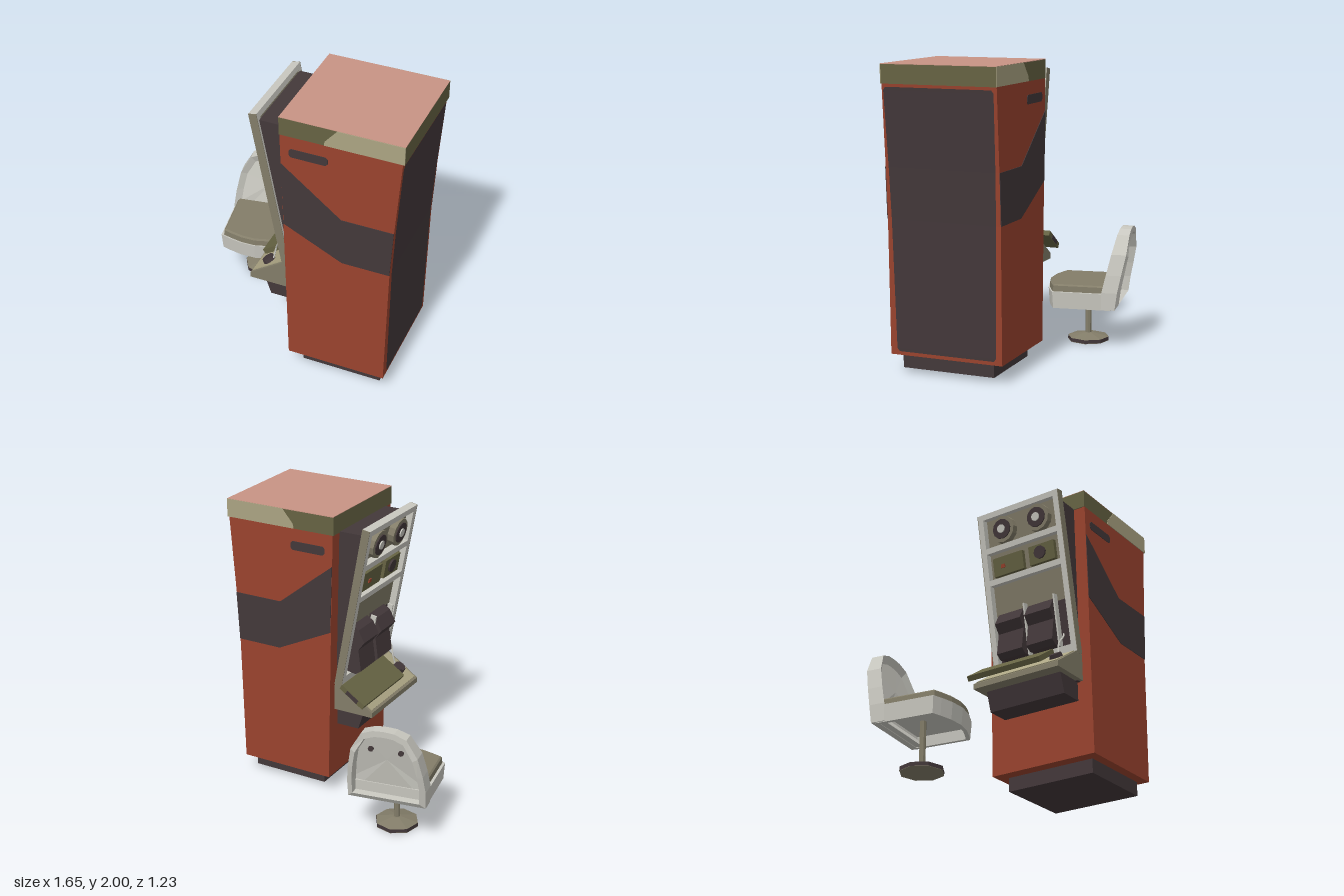
import * as THREE from 'three';

const mat = (name, color, extra = {}) => {
  const m = new THREE.MeshStandardMaterial({ color, flatShading: true, ...extra });
  m.name = name;
  return m;
};

export function createModel() {
  const red = mat('red', 0x9a432e);
  const pink = mat('pink', 0xc89484);
  const dark = mat('dark', 0x43383a);
  const olive = mat('olive', 0x666343);
  const sand = mat('sand', 0xaba483);
  const khaki = mat('khaki', 0x837d69);
  const gray = mat('gray', 0xc9c8c0, { side: THREE.DoubleSide });

  const root = new THREE.Group();
  const add = (parent, name, geo, material, x = 0, y = 0, z = 0) => {
    const m = new THREE.Mesh(geo, material);
    m.name = name;
    m.position.set(x, y, z);
    parent.add(m);
    return m;
  };
  const box = (parent, name, material, w, h, d, x, y, z) =>
    add(parent, name, new THREE.BoxGeometry(w, h, d), material, x, y, z);
  const polygon = (pts) => new THREE.Shape(pts.map(([x, y]) => new THREE.Vector2(x, y)));
  // Outline in x and y, extruded from z0 to z1
  const slab = (parent, name, material, pts, z0, z1) =>
    add(parent, name, new THREE.ExtrudeGeometry(polygon(pts), { depth: z1 - z0, bevelEnabled: false }), material, 0, 0, z0);
  // Joins closed loops of equal length and caps both ends
  const loft = (loops) => {
    const pos = [];
    const n = loops[0].length;
    const tri = (...p) => p.forEach((v) => pos.push(...v));
    const cap = (loop, flip) => {
      const c = [0, 1, 2].map((k) => loop.reduce((s, v) => s + v[k], 0) / n);
      loop.forEach((v, i) => (flip ? tri(c, loop[(i + 1) % n], v) : tri(c, v, loop[(i + 1) % n])));
    };
    for (let j = 0; j < loops.length - 1; j++) {
      for (let i = 0; i < n; i++) {
        const k = (i + 1) % n;
        const [a, b, c, d] = [loops[j][i], loops[j][k], loops[j + 1][k], loops[j + 1][i]];
        tri(a, c, b);
        tri(a, d, c);
      }
    }
    cap(loops[0], false);
    cap(loops[loops.length - 1], true);
    const g = new THREE.BufferGeometry();
    g.setAttribute('position', new THREE.Float32BufferAttribute(pos, 3));
    g.computeVertexNormals();
    return g;
  };

  // ---- Cabinet ----
  const cabinet = new THREE.Group();
  cabinet.name = 'cabinet';
  root.add(cabinet);
  const Z0 = -0.165, Z1 = 0.615, T = 0.004;
  slab(cabinet, 'cabinetBody', red, [[0.065, 0.125], [0.74, 0.125], [0.757, 1.015], [0.775, 1.35],
    [0.813, 1.875], [0.025, 1.875], [0.042, 1.2]], Z0, Z1);
  box(cabinet, 'plinth', dark, 0.55, 0.1, 0.64, 0.42, 0.08, 0.23);
  box(cabinet, 'topBand', olive, 0.805, 0.122, Z1 - Z0, 0.4225, 1.936, 0.225);
  box(cabinet, 'topPlate', pink, 0.805, 0.004, Z1 - Z0, 0.4225, 1.998, 0.225);
  for (const [a, b] of [[Z1, Z1 + T], [Z0 - T, Z0]]) {
    slab(cabinet, 'stripe', dark, [[0.031, 1.665], [0.046, 1.205], [0.44, 1.015], [0.757, 1.015],
      [0.775, 1.35], [0.43, 1.35]], a, b);
    slab(cabinet, 'slot', dark, [[0.1, 1.73], [0.325, 1.73], [0.34, 1.745], [0.34, 1.775],
      [0.325, 1.79], [0.1, 1.79], [0.085, 1.775], [0.085, 1.745]], a, b);
    slab(cabinet, 'bandPatch', sand, [[0.315, 1.876], [0.825, 1.876], [0.825, 1.998], [0.4, 1.998], [0.32, 1.905]], a, b);
  }
  // Side panel following the bent side: x, y, rear z, front z
  const rows = [[0.741, 0.15, -0.11, 0.55], [0.742, 0.17, -0.125, 0.567], [0.757, 1.015, -0.135, 0.585],
    [0.775, 1.35, -0.14, 0.592], [0.811, 1.835, -0.145, 0.603], [0.813, 1.855, -0.13, 0.588]];
  const panelPos = [];
  for (let i = 0; i < rows.length - 1; i++) {
    const [x, y, a, b] = rows[i], [X, Y, A, B] = rows[i + 1];
    panelPos.push(x, y, b, x, y, a, X, Y, A, x, y, b, X, Y, A, X, Y, B);
  }
  const panelGeo = new THREE.BufferGeometry();
  panelGeo.setAttribute('position', new THREE.Float32BufferAttribute(panelPos, 3));
  panelGeo.computeVertexNormals();
  add(cabinet, 'sidePanel', panelGeo, dark, 0.004);

  // ---- Console body and desk ----
  const desk = new THREE.Group();
  desk.name = 'consoleDesk';
  root.add(desk);
  slab(desk, 'consoleBody', dark, [[0.06, 0.62], [0.05, 1.88], [-0.148, 1.88], [0.04, 0.8], [0.02, 0.62]], -0.08, 0.53);
  slab(desk, 'deskFoot', dark, [[-0.15, 0.63], [-0.105, 0.495], [0.065, 0.495], [0.065, 0.63]], -0.06, 0.51);
  slab(desk, 'deskWedge', khaki, [[-0.235, 0.625], [0.055, 0.625], [0.055, 0.8], [0, 0.82], [-0.235, 0.66]], -0.105, 0.55);
  const slope = new THREE.Group();
  slope.name = 'deskTop';
  slope.position.set(-0.118, 0.74, 0);
  slope.rotation.z = 0.597;
  desk.add(slope);
  box(slope, 'tray', sand, 0.25, 0.006, 0.62, 0, 0.003, 0.2225);
  box(slope, 'controlBoard', olive, 0.205, 0.036, 0.565, 0.02, 0.036, 0.108);
  box(slope, 'boardEnd', dark, 0.1, 0.028, 0.004, 0.02, 0.036, -0.177);
  add(slope, 'knob', new THREE.CylinderGeometry(0.04, 0.045, 0.03, 10), dark, -0.01, 0.018, 0.47);

  // ---- Leaning instrument panel ----
  const panel = new THREE.Group();
  panel.name = 'instrumentPanel';
  panel.position.set(-0.002, 0.8, 0.2225);
  panel.rotation.z = 0.184;
  root.add(panel);
  const W = 0.325, H = 1.14;
  const frame = polygon([[-W, 0], [W, 0], [W, H], [-W, H]]);
  for (const [a, b] of [[0.07, 0.62], [0.66, 0.85], [0.89, 1.1]]) {
    frame.holes.push(new THREE.Path([[-0.285, a], [-0.285, b], [0.285, b], [0.285, a]].map(([x, y]) => new THREE.Vector2(x, y))));
  }
  const frameGeo = new THREE.ExtrudeGeometry(frame, { depth: 0.055, bevelEnabled: false });
  frameGeo.rotateY(-Math.PI / 2);
  add(panel, 'panelFrame', frameGeo, gray, 0.055);
  box(panel, 'panelBacking', khaki, 0.008, 1.06, 0.6, 0.05, 0.57, 0);
  for (const s of [-1, 1]) {
    box(panel, 'frameSide', khaki, 0.055, H, 0.004, 0.0275, H / 2, s * (W + 0.002));
    // Tape reels in the top row
    [[0.095, 0.05, khaki, 0.025], [0.07, 0.012, dark, -0.002], [0.03, 0.02, gray, -0.006]].forEach(([r, h, m, x]) => {
      add(panel, 'reel', new THREE.CylinderGeometry(r, r, h, 12), m, x, 0.995, s * 0.14).rotation.z = Math.PI / 2;
    });
    // Hooded screens
    const z = s * 0.118 - 0.02;
    slab(panel, 'screen', dark, [[0.045, 0.08], [0.045, 0.42], [-0.006, 0.4], [-0.064, 0.327], [-0.031, 0.26],
      [-0.078, 0.116], [-0.044, 0.08]], z - 0.1, z + 0.1);
    box(panel, 'screenTrim', gray, 0.04, 0.36, 0.012, 0, 0.25, z + 0.112);
  }
  // Second row instruments
  box(panel, 'meterBlock', olive, 0.03, 0.13, 0.24, 0.03, 0.745, -0.13);
  box(panel, 'meterBlock', olive, 0.03, 0.13, 0.2, 0.03, 0.745, 0.14);
  add(panel, 'meter', new THREE.CylinderGeometry(0.045, 0.045, 0.02, 10), dark, 0.012, 0.75, 0.13).rotation.z = Math.PI / 2;
  box(panel, 'lamp', red, 0.01, 0.025, 0.03, 0.012, 0.74, -0.17);
  const cord = new THREE.CatmullRomCurve3([[-0.02, 0.95, 0.46], [-0.06, 0.91, 0.48], [-0.085, 0.85, 0.46], [-0.1, 0.77, 0.47]]
    .map((p) => new THREE.Vector3(...p)));
  add(root, 'cord', new THREE.TubeGeometry(cord, 12, 0.006, 6), gray);

  // ---- Swivel chair ----
  const chair = new THREE.Group();
  chair.name = 'chair';
  chair.position.set(-0.525, 0, -0.28);
  chair.rotation.y = 0.17;
  root.add(chair);
  add(chair, 'footRim', new THREE.CylinderGeometry(0.145, 0.145, 0.026, 8), dark, 0, 0.015, 0);
  add(chair, 'footBottom', new THREE.CylinderGeometry(0.145, 0.145, 0.003, 8), khaki, 0, 0.0015, 0);
  add(chair, 'footTop', new THREE.CylinderGeometry(0.03, 0.145, 0.026, 8), khaki, 0, 0.041, 0);
  add(chair, 'post', new THREE.CylinderGeometry(0.021, 0.021, 0.32, 8), khaki, 0, 0.2, 0);

  // Hollow seat pan and its cushion
  const half = [[0, 0.28], [0.11, 0.265], [0.2, 0.235], [0.26, 0.21], [0.262, -0.2]];
  const outline = [...half, ...half.slice(1).reverse().map(([x, z]) => [-x, z])];
  const ring = (s, y, dz = 0) => outline.map(([x, z]) => [x * s, y, z * s + dz]);
  add(chair, 'seatPan', loft([ring(0.9, 0.39), ring(1, 0.39), ring(0.97, 0.275), ring(0.88, 0.275), ring(0.86, 0.345)]), gray);
  add(chair, 'cushion', loft([ring(0.88, 0.44, 0.012), ring(0.92, 0.43, 0.012), ring(0.93, 0.385, 0.012)]), khaki);

  // Backrest, hollow behind
  const arch = [[0.262, 0.28], [0.264, 0.4], [0.25, 0.52], [0.222, 0.66], [0.15, 0.785], [0.07, 0.815]];
  const backOutline = [...arch, [0, 0.82], ...arch.slice().reverse().map(([x, y]) => [-x, y])];
  const frontZ = (y) => -0.13 - 0.23 * Math.max(0, y - 0.39);
  const rearZ = (x, y) => -0.255 - 0.05 * Math.min(1, (y - 0.28) / 0.35) + 0.5 * Math.max(0, Math.abs(x) - 0.2);
  const archRing = (s, zAt) => backOutline.map(([x, y]) => {
    const Y = 0.53 + (y - 0.53) * s;
    return [x * s, Y, zAt(x * s, Y)];
  });
  add(chair, 'backrest', loft([
    archRing(0.82, (x, y) => frontZ(y) - 0.03),
    archRing(1, (x, y) => frontZ(y)),
    archRing(1, rearZ),
    archRing(0.86, rearZ),
    archRing(0.84, (x, y) => frontZ(y) - 0.05),
  ]), gray);
  for (const s of [-1, 1]) {
    add(chair, 'bolt', new THREE.CylinderGeometry(0.018, 0.018, 0.02, 8), dark, s * 0.1, 0.66, -0.25).rotation.x = Math.PI / 2;
  }

  return root;
}
